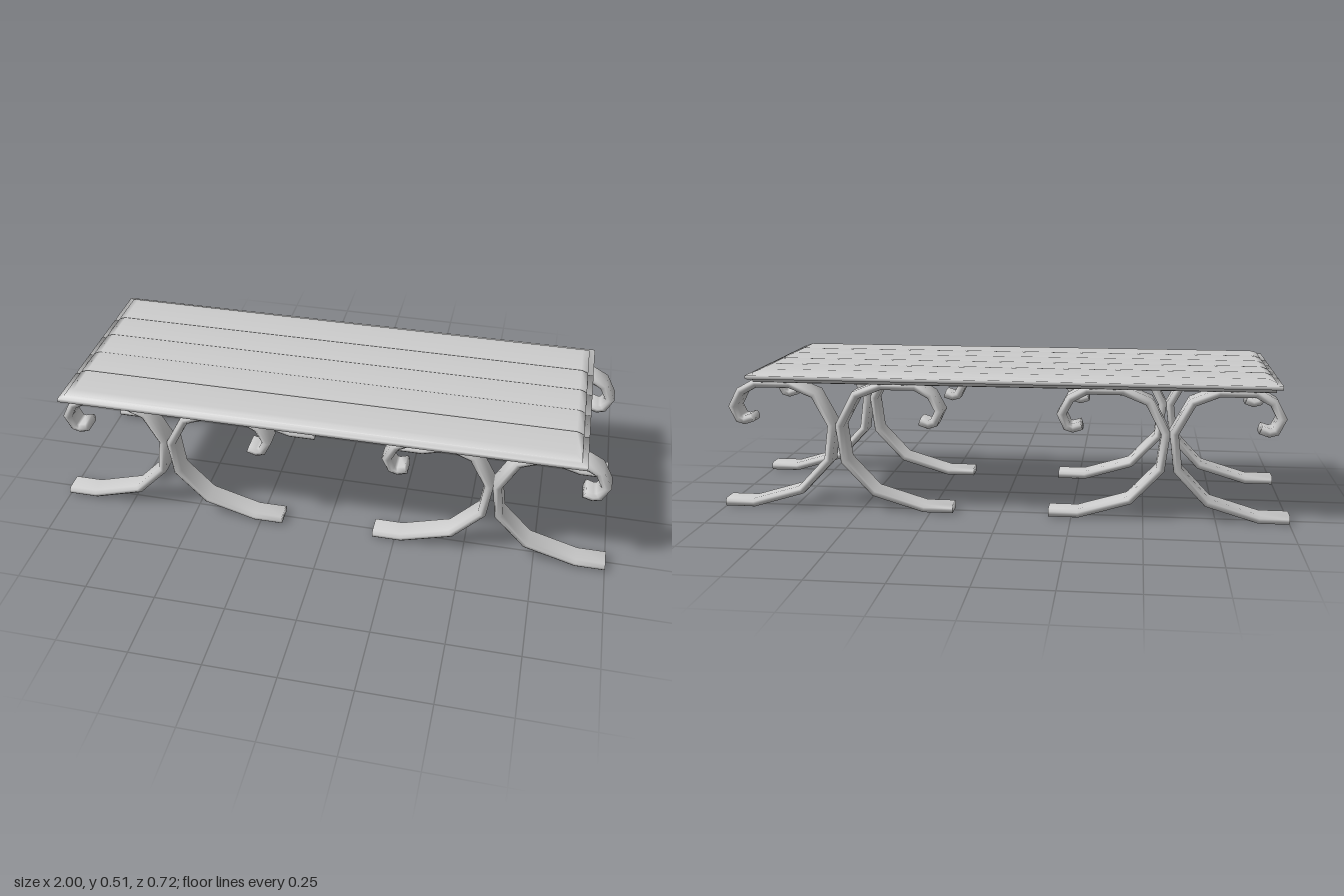
import * as THREE from 'three';

const material = new THREE.MeshStandardMaterial({ color: 0xcccccc });

// Skins a list of equal-length rings (counter-clockwise about the travel direction) and caps both ends.
function loft(rings) {
  const n = rings[0].length;
  const index = [];
  for (let i = 0; i < rings.length - 1; i++) {
    for (let j = 0; j < n; j++) {
      const a = i * n + j, b = i * n + (j + 1) % n;
      index.push(a, b, b + n, a, b + n, a + n);
    }
  }
  const last = (rings.length - 1) * n;
  for (let j = 1; j < n - 1; j++) {
    index.push(0, j + 1, j, last, last + j, last + j + 1);
  }
  const geometry = new THREE.BufferGeometry();
  geometry.setAttribute('position', new THREE.Float32BufferAttribute(rings.flat(2), 3));
  geometry.setIndex(index);
  geometry.computeVertexNormals();
  return geometry;
}

function addMesh(parent, name, geometry) {
  const mesh = new THREE.Mesh(geometry, material);
  mesh.name = name;
  parent.add(mesh);
  return mesh;
}

// Slat profile, bottom to top: [height, inset from the table's outline]
const slatLevels = [
  [0.464, 0.045], [0.470, 0.02], [0.482, 0.02], [0.482, 0],
  [0.495, 0], [0.495, 0.02], [0.503, 0.02], [0.512, 0.045],
];

// Slat ends always follow the rim profile; long sides only on the table's outer edges.
function slatGeometry(zBack, zFront) {
  return loft(slatLevels.map(([y, inset]) => {
    const x0 = -0.947 + inset, x1 = 0.882 - inset;
    const z0 = zBack < -0.3 ? zBack + inset : zBack;
    const z1 = zFront > 0.3 ? zFront - inset : zFront;
    return [[x1, y, z1], [x1, y, z0], [x0, y, z0], [x0, y, z1]];
  }));
}

// Centre line of one scroll leg, from foot to curl, relative to the pair's middle
const scrollPath = [
  [-0.415, 0.017], [-0.312, 0.017], [-0.135, 0.07], [-0.03, 0.182],
  [-0.014, 0.31], [-0.073, 0.42], [-0.162, 0.456], [-0.287, 0.456],
  [-0.343, 0.425], [-0.372, 0.37], [-0.352, 0.328], [-0.332, 0.322], [-0.302, 0.332],
];

// Chamfered flat bar section: [thickness, width]
const T = 0.015, W = 0.042, C = 0.01;
const barSection = [
  [T, -W + C], [T, W - C], [T - C, W], [-T + C, W],
  [-T, W - C], [-T, -W + C], [-T + C, -W], [T - C, -W],
];

// Sweeps the bar along the path with mitred corners; side = -1 mirrors it in x.
function scrollGeometry(side) {
  const points = scrollPath.map(([x, y]) => new THREE.Vector2(x * side, y));
  const direction = (i) => points[i + 1].clone().sub(points[i]).normalize();
  const end = points.length - 1;
  return loft(points.map((p, i) => {
    const before = direction(Math.max(i - 1, 0));
    const after = direction(Math.min(i, end - 1));
    const tangent = before.clone().add(after).normalize();
    const miter = 1 / Math.max(tangent.dot(after), 0.6);
    return barSection.map(([t, w]) => [
      p.x - tangent.y * t * miter, p.y + tangent.x * t * miter, w,
    ]);
  }));
}

export function createModel() {
  const bench = new THREE.Group();
  bench.name = 'bench';

  // Seat: five slats with narrow gaps
  const seat = new THREE.Group();
  seat.name = 'seat';
  bench.add(seat);
  const slats = [
    ['backSlat', -0.358, -0.191], ['backInnerSlat', -0.184, -0.065],
    ['middleSlat', -0.059, 0.06], ['frontInnerSlat', 0.065, 0.184],
    ['frontSlat', 0.191, 0.358],
  ];
  for (const [name, z0, z1] of slats) addMesh(seat, name, slatGeometry(z0, z1));

  // Legs: four pairs of back-to-back scrolls
  const outward = scrollGeometry(1), inward = scrollGeometry(-1);
  for (const [xName, x] of [['Right', -0.585], ['Left', 0.585]]) {
    for (const [zName, z] of [['front', 0.26], ['back', -0.257]]) {
      const pair = new THREE.Group();
      pair.name = `${zName}${xName}Leg`;
      pair.position.set(x, 0, z);
      addMesh(pair, 'rightScroll', outward);
      addMesh(pair, 'leftScroll', inward);
      bench.add(pair);
    }
  }
  return bench;
}
